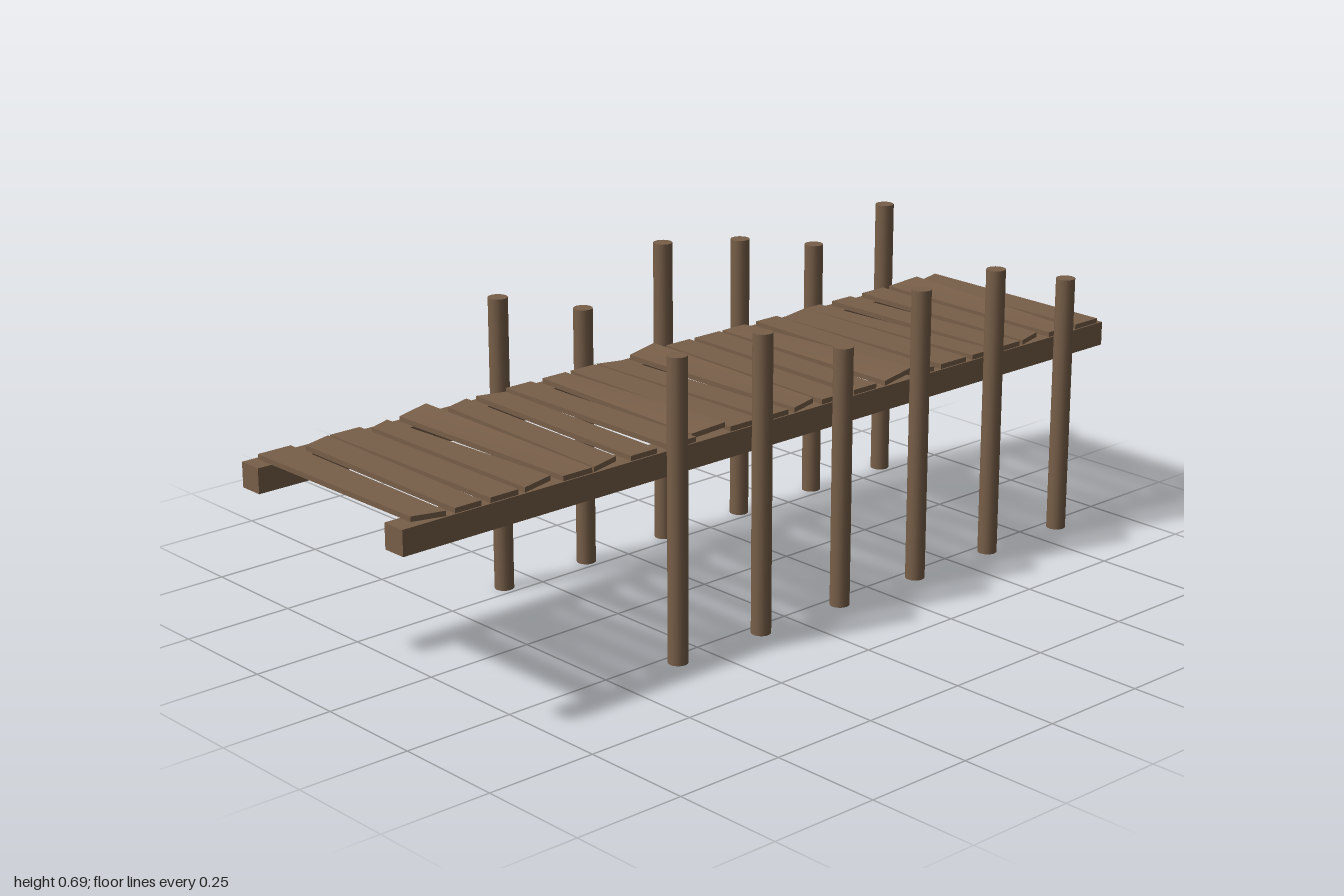
import * as THREE from 'three';

// Plank edges along z: [left back, left front, right back, right front] at the -x and +x ends
const PLANKS = [
  [-0.99, -0.91, -0.985, -0.91], [-0.905, -0.83, -0.885, -0.82], [-0.81, -0.74, -0.80, -0.73],
  [-0.70, -0.64, -0.72, -0.64], [-0.60, -0.55, -0.63, -0.565], [-0.55, -0.46, -0.545, -0.465],
  [-0.46, -0.395, -0.443, -0.38], [-0.36, -0.29, -0.37, -0.29], [-0.28, -0.205, -0.263, -0.195],
  [-0.19, -0.12, -0.173, -0.10], [-0.083, -0.013, -0.093, -0.02], [0.018, 0.083, -0.003, 0.066],
  [0.088, 0.157, 0.083, 0.162], [0.172, 0.236, 0.178, 0.252], [0.268, 0.337, 0.257, 0.332],
  [0.353, 0.417, 0.363, 0.432], [0.443, 0.507, 0.454, 0.528], [0.549, 0.618, 0.533, 0.607],
  [0.65, 0.703, 0.623, 0.703], [0.719, 0.793, 0.719, 0.788], [0.798, 0.867, 0.809, 0.873],
  [0.889, 0.968, 0.894, 0.963],
];
// Planks with a warped back corner: index -> raised end
const WARPED = { 1: -1, 7: 1, 10: -1, 13: 1, 17: -1 };

// Ends cut at a slant: index -> side (-1 back corner short, 1 front corner short)
const LEFT_CUT = { 0: 1, 1: -1, 5: 1, 11: -1, 15: -1, 16: 1, 18: 1, 20: 1 };
const RIGHT_CUT = { 2: -1, 6: 1, 10: -1, 13: 1, 16: -1, 18: -1, 21: 1 };

// Posts from front to back
const POST_Z = [0.332, 0.098, -0.135, -0.369, -0.604, -0.838];
const LEFT_TOPS = [0.657, 0.657, 0.578, 0.657, 0.657, 0.592];
const RIGHT_TOPS = [0.657, 0.587, 0.691, 0.657, 0.602, 0.657];

function plankGeometry(i) {
  const edges = PLANKS[i];
  const geo = new THREE.BoxGeometry(1, 1, 1);
  const p = geo.attributes.position;
  for (let v = 0; v < p.count; v++) {
    const sx = Math.sign(p.getX(v)), sy = Math.sign(p.getY(v)), sz = Math.sign(p.getZ(v));
    const cut = (sx < 0 ? LEFT_CUT : RIGHT_CUT)[i];
    const x = sx * (cut === sz ? 0.235 : 0.255);
    const z = edges[(sx > 0 ? 2 : 0) + (sz > 0 ? 1 : 0)];
    const lift = WARPED[i] === sx && sz < 0 ? 0.013 : 0;
    p.setXYZ(v, x, (sy > 0 ? 0.463 : 0.452) + lift, z);
  }
  geo.computeVertexNormals();
  return geo;
}

export function createModel() {
  const model = new THREE.Group();
  model.name = 'pier';
  const wood = new THREE.MeshStandardMaterial({ color: 0x785f49 });
  wood.name = 'weathered brown wood';

  const add = (name, geo, x = 0, y = 0, z = 0) => {
    const mesh = new THREE.Mesh(geo, wood);
    mesh.name = name;
    mesh.position.set(x, y, z);
    model.add(mesh);
  };

  // Two long beams under the deck
  add('leftBeam', new THREE.BoxGeometry(0.055, 0.054, 2), 0.231, 0.425, 0);
  add('rightBeam', new THREE.BoxGeometry(0.055, 0.054, 2), -0.237, 0.425, 0);

  // Uneven deck planks
  PLANKS.forEach((_, i) => add(`plank${i + 1}`, plankGeometry(i)));

  // Round posts along both sides
  POST_Z.forEach((z, i) => {
    for (const [side, name, tops] of [[1, 'leftPost', LEFT_TOPS], [-1, 'rightPost', RIGHT_TOPS]]) {
      const h = tops[i];
      add(`${name}${i + 1}`, new THREE.CylinderGeometry(0.0215, 0.0215, h, 16), side * 0.2815, h / 2, z);
    }
  });

  return model;
}
